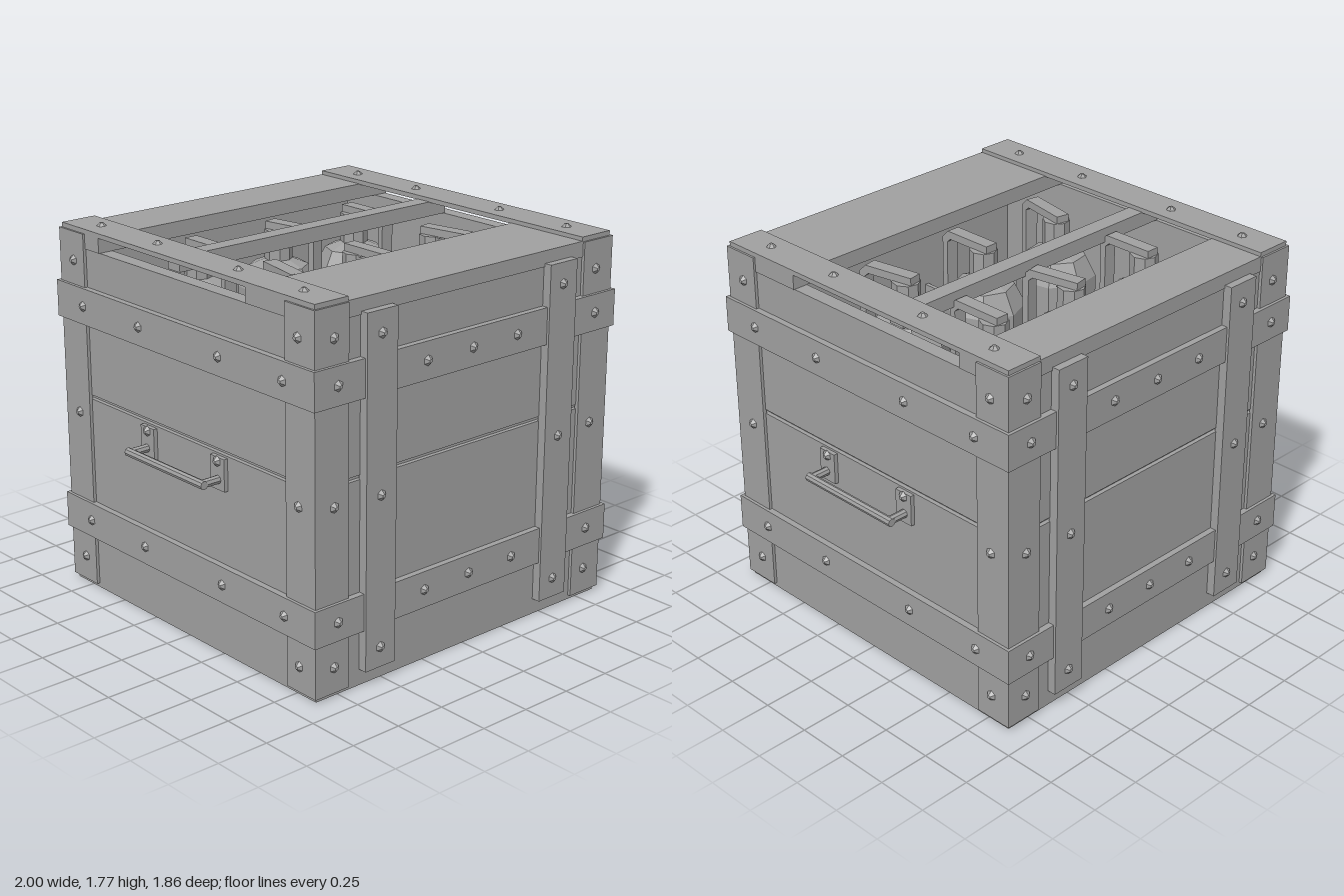
import * as THREE from 'three';

export function createModel() {
  const root = new THREE.Group();
  const grey = new THREE.MeshStandardMaterial({ color: 0xa0a0a0, flatShading: true });
  grey.name = 'plain grey';

  const add = (name, geometry, parent = root) => {
    const mesh = new THREE.Mesh(geometry, grey);
    mesh.name = name;
    parent.add(mesh);
    return mesh;
  };
  // Box given by its extents on each axis
  const block = (name, [x0, x1], [y0, y1], [z0, z1], parent = root) => {
    const mesh = add(name, new THREE.BoxGeometry(x1 - x0, y1 - y0, z1 - z0), parent);
    mesh.position.set((x0 + x1) / 2, (y0 + y1) / 2, (z0 + z1) / 2);
    return mesh;
  };
  // Faceted rivet head whose axis is +z of its parent side
  const rivetShape = new THREE.CylinderGeometry(0.009, 0.026, 0.018, 6).rotateX(Math.PI / 2);
  const rivet = (x, y, z, parent) => {
    const mesh = add('rivet', rivetShape, parent);
    mesh.position.set(x, y, z + 0.008);
  };
  const rivetRows = [0.14, 0.87, 1.6];
  const bands = [0.352, 1.4];

  // Four sides, each built facing +z and turned into place
  for (let i = 0; i < 4; i++) {
    const side = new THREE.Group();
    const isFront = i % 2 === 0;
    side.name = isFront ? 'battenSide' : 'handleSide';
    side.rotation.y = i * Math.PI / 2;
    root.add(side);

    // Two planks with a shadow gap backed by a thin board
    const w = isFront ? 0.87 : 0.8;
    block('lowerPlank', [-w, w], [0, 0.95], [0.8, 0.87], side);
    block('upperPlank', [-w, w], [0.97, 1.665], [0.8, 0.87], side);
    block('gapBacking', [-w, w], [0.94, 0.98], [0.81, 0.85], side);

    for (const s of [-1, 1]) {
      // Corner plates
      const edge = s < 0 ? [-0.885, -0.7] : [0.7, 0.885];
      block('cornerPlate', edge, [0.02, 1.735], [0.865, 0.885], side);
      rivetRows.forEach(y => rivet(s * 0.78, y, 0.885, side));
    }

    // Horizontal bands
    for (const y of bands) {
      block('band', [-0.9, 0.9], [y - 0.086, y + 0.086], [0.86, 0.9], side);
      const spots = isFront ? [-0.77, -0.27, 0, 0.27, 0.77] : [-0.7, -0.28, 0.28, 0.7];
      spots.forEach(x => rivet(x, y, 0.9, side));
    }

    if (isFront) {
      // Vertical battens
      for (const s of [-1, 1]) {
        block('batten', [s * 0.54 - 0.085, s * 0.54 + 0.085], [0.075, 1.68], [0.865, 0.912], side);
        [0.17, 0.87, 1.58].forEach(y => rivet(s * 0.54, y, 0.912, side));
      }
    } else {
      // Carrying handle on two mounting plates
      for (const s of [-1, 1]) {
        block('handlePlate', [s * 0.25 - 0.048, s * 0.25 + 0.048], [0.79, 0.94], [0.865, 0.89], side);
        rivet(s * 0.25, 0.92, 0.89, side);
        const arm = add('handleArm', new THREE.CylinderGeometry(0.02, 0.02, 0.11, 8), side);
        arm.rotation.x = Math.PI / 2;
        arm.position.set(s * 0.255, 0.838, 0.925);
      }
      const bar = add('handleBar', new THREE.CylinderGeometry(0.02, 0.02, 0.55, 8), side);
      bar.rotation.z = Math.PI / 2;
      bar.position.set(0, 0.838, 0.98);
    }
  }

  // Base and inner tray floor
  block('base', [-0.8, 0.8], [0.008, 0.06], [-0.8, 0.8]);
  block('trayFloor', [-0.8, 0.8], [0.95, 1.0], [-0.8, 0.8]);

  // Lid planks, cross bar and compartment dividers
  block('frontLidPlank', [-0.875, 0.875], [1.665, 1.738], [0.44, 0.875]);
  block('backLidPlank', [-0.875, 0.875], [1.665, 1.738], [-0.875, -0.595]);
  block('crossBar', [-0.8, 0.8], [1.668, 1.738], [-0.18, -0.098]);
  for (const s of [-1, 1])
    block('divider', [s * 0.24 - 0.01, s * 0.24 + 0.01], [1.0, 1.2], [-0.8, 0.8]);

  // Riveted straps over the lid
  for (const s of [-1, 1]) {
    block('lidStrap', [s * 0.785 - 0.09, s * 0.785 + 0.09], [1.735, 1.757], [-0.875, 0.875]);
    for (const z of [-0.7, -0.28, 0.28, 0.7]) {
      const head = add('rivet', rivetShape);
      head.rotation.x = -Math.PI / 2;
      head.position.set(s * 0.78, 1.763, z);
    }
  }

  // Six stored canisters with bent levers
  const profile = [[0, 1.0], [0.13, 1.0], [0.19, 1.12], [0.19, 1.4], [0.14, 1.5], [0.065, 1.53], [0.065, 1.67], [0, 1.67]]
    .map(([r, y]) => new THREE.Vector2(r, y));
  const canisterShape = new THREE.LatheGeometry(profile, 8);
  const leverOutline = new THREE.Shape([[-0.05, 1.66], [-0.05, 1.705], [0.2, 1.705], [0.235, 1.67],
    [0.235, 1.38], [0.205, 1.38], [0.205, 1.65], [0.185, 1.668], [0.06, 1.668], [0.06, 1.66]]
    .map(([z, y]) => new THREE.Vector2(-z, y)));
  const leverShape = new THREE.ExtrudeGeometry(leverOutline, { depth: 0.065, bevelEnabled: false })
    .translate(0, 0, -0.0325).rotateY(Math.PI / 2);
  const turns = [[0, 0.18, 0], [-0.2, 0, 0.18]];
  [-0.39, 0.155].forEach((z, row) => [-0.475, 0, 0.475].forEach((x, col) => {
    const canister = new THREE.Group();
    canister.name = 'canister';
    canister.position.set(x, 0, z);
    canister.rotation.y = turns[row][col];
    add('canisterBody', canisterShape, canister);
    add('lever', leverShape, canister);
    root.add(canister);
  }));

  return root;
}
